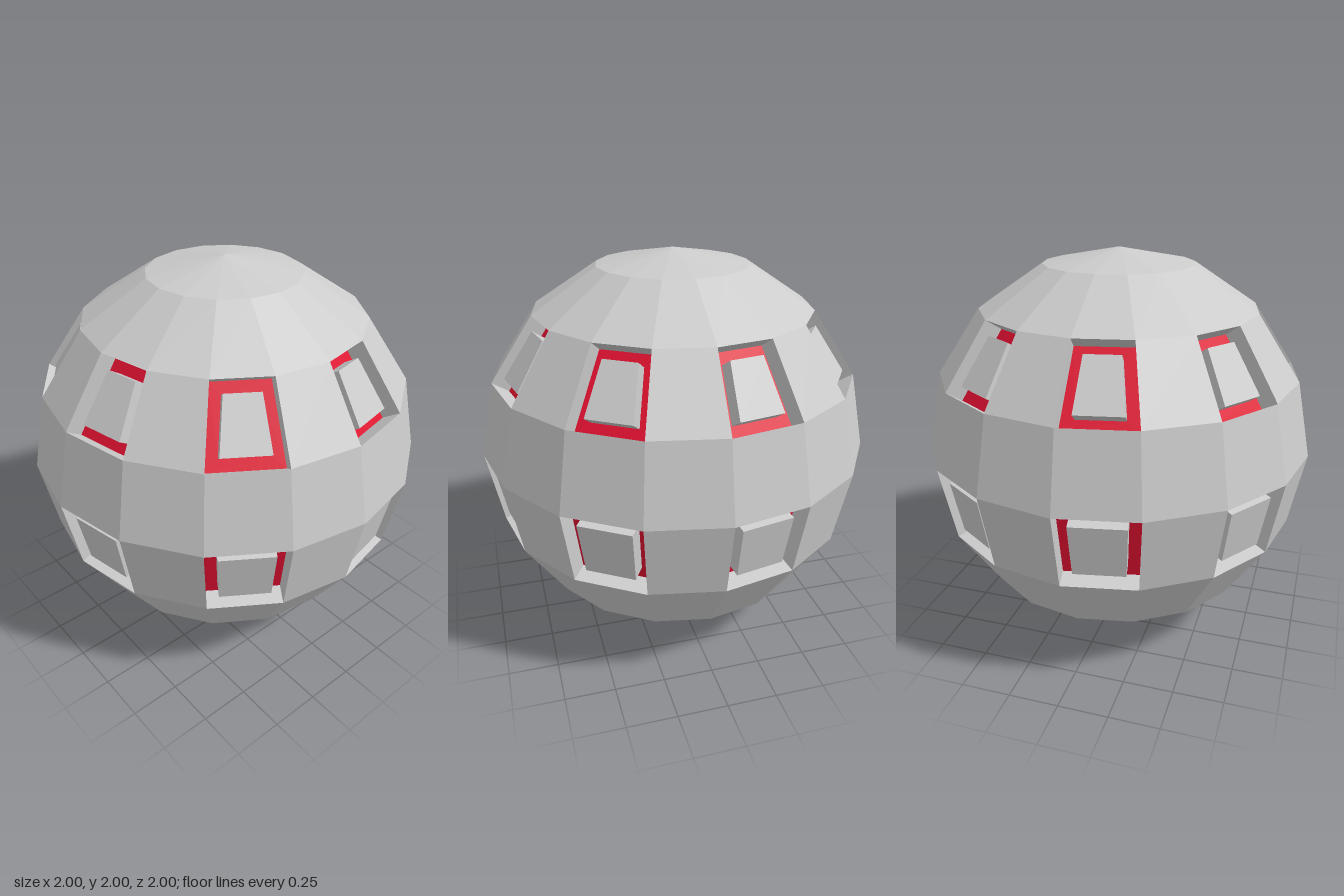
import * as THREE from 'three';

const SEGMENTS = 16, RINGS = 8;
const RECESS = 0.1, BORDER = 0.06, PANEL_HEIGHT = 0.08;
const WINDOW_RINGS = [2, 4];

// Point on the faceted ball: i counts round from the front, j down from the pole
function ballPoint(i, j) {
  const az = (i / SEGMENTS) * Math.PI * 2, polar = (j / RINGS) * Math.PI;
  const r = Math.sin(polar);
  return new THREE.Vector3(r * Math.sin(az), 1 + Math.cos(polar), r * Math.cos(az));
}

function addQuad(list, [a, b, c, d]) {
  list.push(a, b, c, a, c, d);
}

// Four quads joining an outer loop to an inner loop
function addRing(list, outer, inner) {
  for (let k = 0; k < 4; k++) {
    const n = (k + 1) % 4;
    addQuad(list, [outer[k], outer[n], inner[n], inner[k]]);
  }
}

const shift = (loop, normal, d) => loop.map(p => p.clone().addScaledVector(normal, d));

// Move every side of a loop inwards by the same distance
function inset(loop, t) {
  return loop.map((p, k) => {
    const next = loop[(k + 1) % 4].clone().sub(p).normalize();
    const prev = loop[(k + 3) % 4].clone().sub(p).normalize();
    const sin = next.clone().cross(prev).length();
    return p.clone().addScaledVector(next.add(prev), t / sin);
  });
}

function makeMesh(name, points, color) {
  const geometry = new THREE.BufferGeometry().setFromPoints(points);
  geometry.computeVertexNormals();
  const mesh = new THREE.Mesh(geometry, new THREE.MeshStandardMaterial({ color, flatShading: true }));
  mesh.name = name;
  return mesh;
}

export function createModel() {
  const group = new THREE.Group();
  group.name = 'windowedBall';
  const shell = [];

  for (let j = 0; j < RINGS; j++) {
    for (let i = 0; i < SEGMENTS; i++) {
      const cell = [ballPoint(i, j + 1), ballPoint(i + 1, j + 1), ballPoint(i + 1, j), ballPoint(i, j)];
      const [a, b, c, d] = cell;

      // Poles are triangle fans
      if (j === 0) { shell.push(a, b, d); continue; }
      if (j === RINGS - 1) { shell.push(a, c, d); continue; }
      if (i % 2 || !WINDOW_RINGS.includes(j)) { addQuad(shell, cell); continue; }

      // Sunken window: walls, coloured frame and raised panel
      const normal = b.clone().sub(a).cross(d.clone().sub(a)).normalize();
      const floor = shift(cell, normal, -RECESS);
      const base = inset(floor, BORDER);
      const face = shift(base, normal, PANEL_HEIGHT);
      const walls = [], frame = [], panel = [];
      addRing(walls, cell, floor);
      addRing(frame, floor, base);
      addRing(panel, base, face);
      addQuad(panel, face);

      const win = new THREE.Group();
      win.name = j === WINDOW_RINGS[0] ? 'upperWindow' : 'lowerWindow';
      win.add(
        makeMesh('recessWalls', walls, 0xcccccc),
        makeMesh('windowFrame', frame, 0xe01030),
        makeMesh('windowPanel', panel, 0xcccccc),
      );
      group.add(win);
    }
  }
  group.add(makeMesh('shell', shell, 0xcccccc));
  return group;
}
